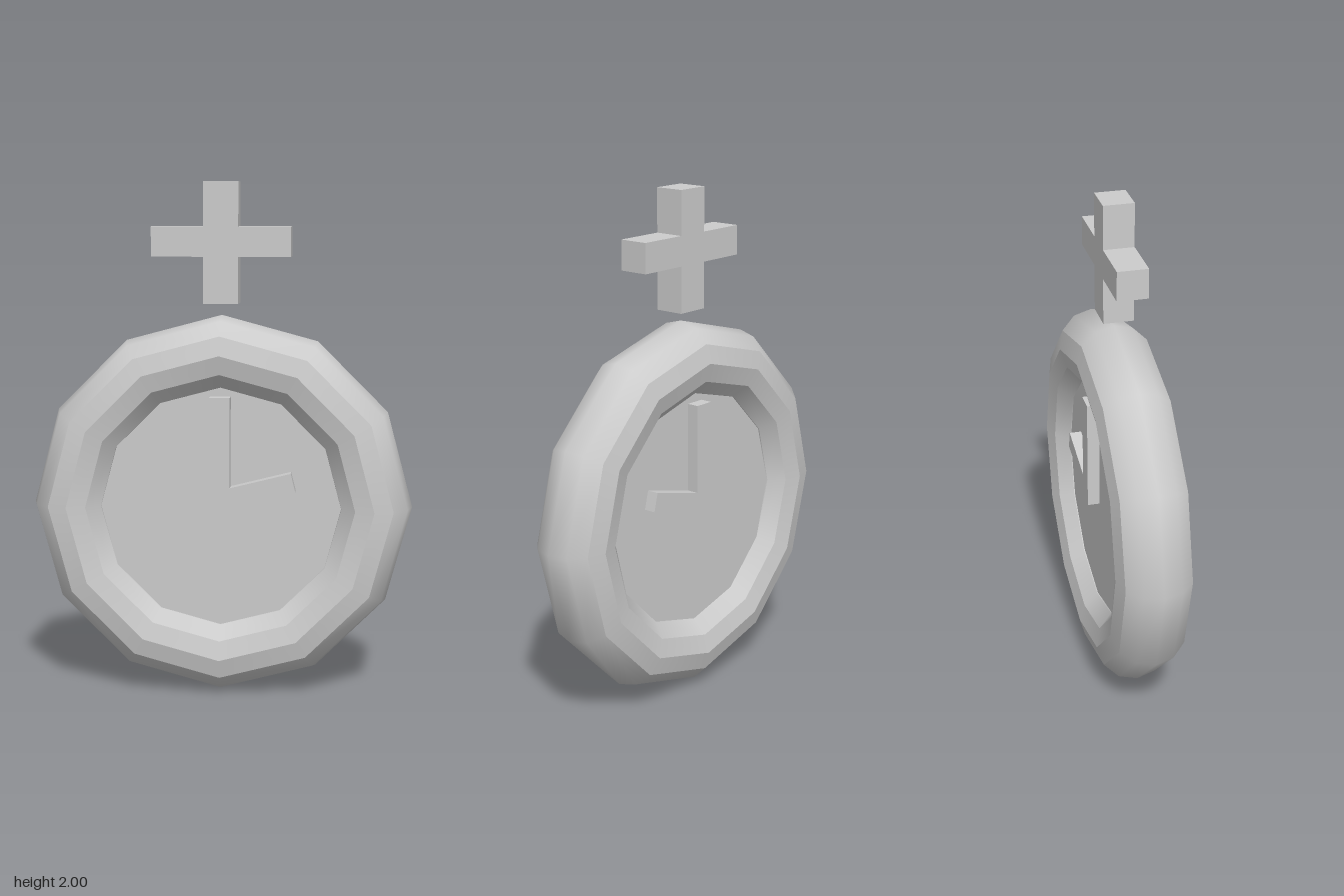
import * as THREE from 'three';

const SIDES = 12;
const CENTRE_Y = 0.746;
const material = new THREE.MeshStandardMaterial({ color: 0xcccccc });

function addMesh(parent, name, geometry) {
  const mesh = new THREE.Mesh(geometry, material);
  mesh.name = name;
  parent.add(mesh);
  return mesh;
}

// Extrudes an outline, centred on z = 0
function slab(points, depth) {
  const shape = new THREE.Shape(points.map(([x, y]) => new THREE.Vector2(x, y)));
  return new THREE.ExtrudeGeometry(shape, { depth, bevelEnabled: false }).translate(0, 0, -depth / 2);
}

export function createModel() {
  const group = new THREE.Group();

  // Ring: a 12-sided tube, smooth around the outside, creased between the other bands
  const rim = new THREE.Group();
  rim.name = 'rim';
  rim.position.y = CENTRE_Y;
  group.add(rim);
  const ringRadius = 0.597, tubeRadius = 0.147;
  const tubePoint = (i) => {
    const a = (i / 12) * Math.PI * 2;
    return new THREE.Vector2(ringRadius + tubeRadius * Math.cos(a), tubeRadius * Math.sin(a));
  };
  const addBand = (name, from, to) => {
    const profile = [];
    for (let i = from; i <= to; i++) profile.push(tubePoint(i));
    addMesh(rim, name, new THREE.LatheGeometry(profile, SIDES).rotateX(Math.PI / 2));
  };
  addBand('rimOuter', -2, 2);
  for (let i = 2; i < 10; i++) addBand('rimBand', i, i + 1);

  // Dial filling the ring, shown on both sides
  const dial = addMesh(group, 'dial', new THREE.CylinderGeometry(0.469, 0.469, 0.14, SIDES).rotateX(Math.PI / 2));
  dial.position.y = CENTRE_Y;

  // Both hands in one piece, running through the dial
  addMesh(group, 'hands', slab([
    [-0.04, 0.735], [0.293, 0.818], [0.275, 0.89], [0.04, 0.83], [0.04, 1.18], [-0.04, 1.18],
  ], 0.236));

  // Cross above the ring
  const w = 0.067, arm = 0.268, low = 1.715, high = 1.83, base = 1.535, top = 2;
  addMesh(group, 'cross', slab([
    [-w, base], [w, base], [w, low], [arm, low], [arm, high], [w, high],
    [w, top], [-w, top], [-w, high], [-arm, high], [-arm, low], [-w, low],
  ], 0.118));

  return group;
}
